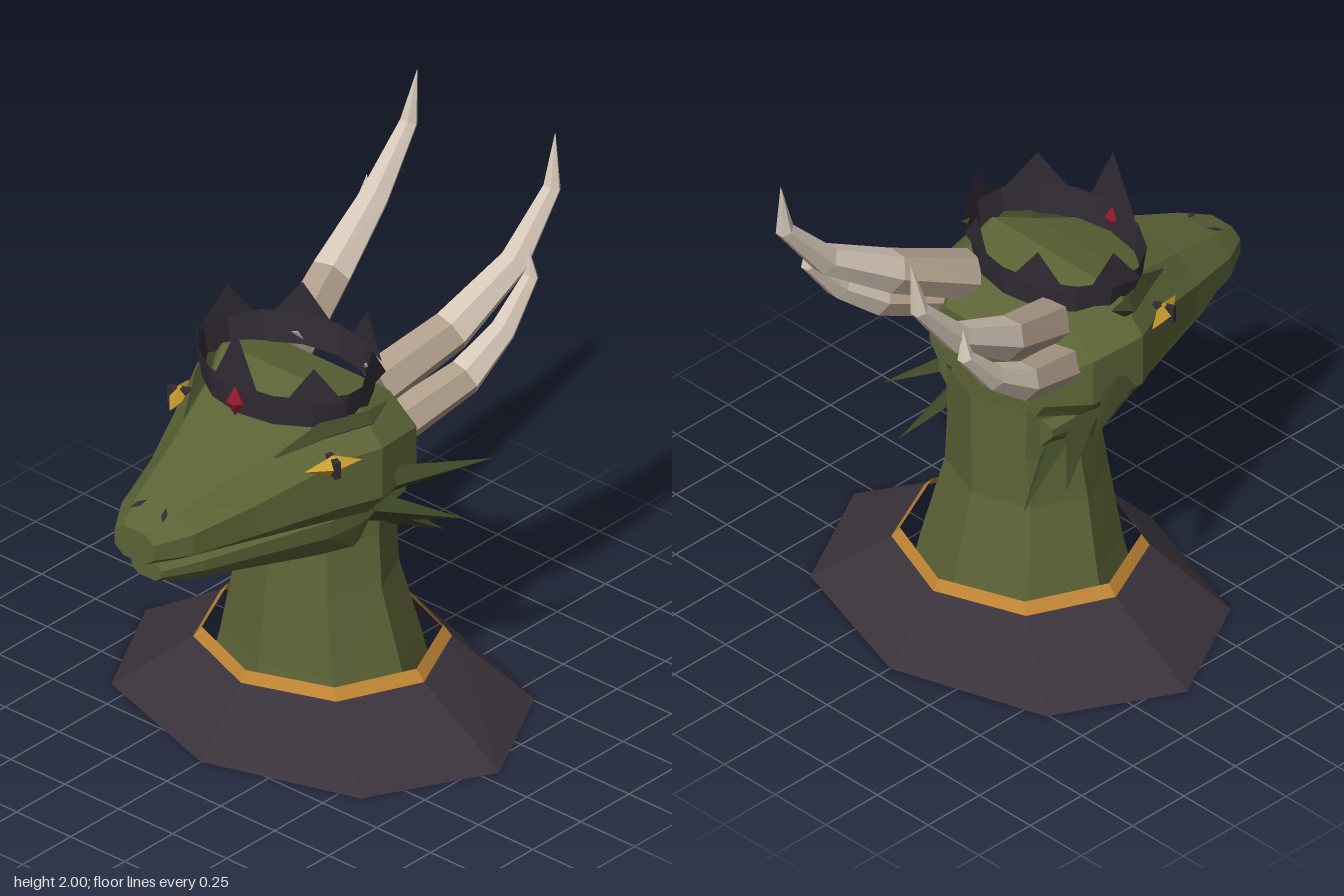
import * as THREE from 'three';

const mat = (name, color, side = THREE.FrontSide) => {
  const m = new THREE.MeshStandardMaterial({ color, side, flatShading: true });
  m.name = name;
  return m;
};

// Skin of flat facets over a list of rings, running counter-clockwise about the travel direction
function loft(rings, capped = true) {
  const pos = [];
  const tri = (...pts) => pts.forEach((p) => pos.push(p.x, p.y, p.z));
  const n = rings[0].length;
  for (let i = 0; i < rings.length - 1; i++) {
    for (let j = 0; j < n; j++) {
      const k = (j + 1) % n, a = rings[i], b = rings[i + 1];
      tri(a[j], a[k], b[k]);
      tri(a[j], b[k], b[j]);
    }
  }
  if (capped) {
    const s = rings[0], e = rings[rings.length - 1];
    for (let j = 1; j < n - 1; j++) {
      tri(s[0], s[j + 1], s[j]);
      tri(e[0], e[j], e[j + 1]);
    }
  }
  const g = new THREE.BufferGeometry();
  g.setAttribute('position', new THREE.Float32BufferAttribute(pos, 3));
  g.computeVertexNormals();
  return g;
}

// Horizontal ellipse with a corner at the front
const ellipse = ([y, rx, rz, cz], n) => Array.from({ length: n }, (_, i) => {
  const t = (i / n) * Math.PI * 2;
  return new THREE.Vector3(Math.sin(t) * rx, y, cz + Math.cos(t) * rz);
});

// Eight-sided head section: z, top half width, top y, side half width, upper y, lower y, bottom half width, bottom y
const section = ([z, wt, yt, w, yu, yl, wb, yb]) =>
  [[w, yl], [w, yu], [wt, yt], [-wt, yt], [-w, yu], [-w, yl], [-wb, yb], [wb, yb]]
    .map(([x, y]) => new THREE.Vector3(x, y, z));

// Rings around a path of [x, y, z, radius]
function pathRings(path, side, sides = 6) {
  const pts = path.map(([x, y, z]) => new THREE.Vector3(x * side, y, z));
  return pts.map((p, i) => {
    const t = pts[Math.min(i + 1, pts.length - 1)].clone().sub(pts[Math.max(i - 1, 0)]).normalize();
    const s = new THREE.Vector3(1, 0, 0).addScaledVector(t, -t.x).normalize();
    const u = t.clone().cross(s);
    return Array.from({ length: sides }, (_, j) => {
      const a = (j / sides) * Math.PI * 2, r = path[i][3];
      return p.clone().addScaledVector(s, Math.cos(a) * r).addScaledVector(u, Math.sin(a) * r);
    });
  });
}

export function createModel() {
  const root = new THREE.Group();
  root.name = 'hornedBust';
  const green = mat('scale green', 0x5c6436);
  const neckGreen = mat('neck green', 0x5c6437, THREE.DoubleSide);
  const darkGreen = mat('dark green', 0x3f4727);
  const cloth = mat('cloak cloth', 0x3b333b, THREE.DoubleSide);
  const gold = mat('collar gold', 0xc08534, THREE.DoubleSide);
  const iron = mat('crown iron', 0x322c34, THREE.DoubleSide);
  const hornLight = mat('horn light', 0xd6c7b8);
  const hornDark = mat('horn base', 0xb09e8b);
  const yellow = mat('eye yellow', 0xcfa030);
  const red = mat('gem red', 0x8f1a2b);
  const add = (name, geo, m, parent = root) => {
    const mesh = new THREE.Mesh(geo, m);
    mesh.name = name;
    parent.add(mesh);
    return mesh;
  };

  // Cloak, collar and neck are open tubes
  const tube = (name, rows, m) => add(name, loft(rows.map((r) => ellipse(r, 8)), false), m);
  tube('cloak', [[0, 0.82, 0.635, -0.06], [0.225, 0.47, 0.425, -0.06]], cloth);
  tube('collar', [[0.21, 0.482, 0.432, -0.06], [0.265, 0.435, 0.4, -0.06]], gold);
  tube('neck', [[0.14, 0.4, 0.35, -0.05], [0.26, 0.37, 0.325, -0.05],
    [0.55, 0.3, 0.267, -0.03], [0.75, 0.275, 0.255, -0.045], [0.96, 0.28, 0.25, -0.05]], neckGreen);

  // Skull and lower jaw, back to front
  add('skull', loft([
    [-0.225, 0.2, 1.2, 0.28, 1.12, 1.02, 0.24, 0.96],
    [-0.1, 0.27, 1.31, 0.4, 1.21, 1.03, 0.33, 0.95],
    [0.11, 0.31, 1.36, 0.43, 1.23, 1.03, 0.36, 0.945],
    [0.25, 0.24, 1.32, 0.36, 1.21, 1.02, 0.3, 0.945],
    [0.56, 0.15, 1.215, 0.24, 1.12, 1.0, 0.19, 0.955],
    [0.8, 0.09, 1.14, 0.165, 1.08, 1.0, 0.11, 0.965],
    [0.92, 0.05, 1.09, 0.09, 1.06, 1.0, 0.05, 0.97],
  ].map(section)), green);
  add('lowerJaw', loft([
    [-0.18, 0.25, 0.912, 0.28, 0.9, 0.87, 0.22, 0.8],
    [0.06, 0.26, 0.915, 0.28, 0.9, 0.84, 0.25, 0.74],
    [0.2, 0.24, 0.92, 0.265, 0.905, 0.84, 0.21, 0.75],
    [0.7, 0.11, 0.932, 0.13, 0.92, 0.88, 0.08, 0.83],
    [0.855, 0.05, 0.935, 0.07, 0.92, 0.895, 0.04, 0.872],
  ].map(section)), green);

  const horns = {
    upperHorn: [[0.2, 1.29, -0.12, 0.09], [0.28, 1.41, -0.41, 0.08], [0.325, 1.58, -0.69, 0.057],
      [0.332, 1.8, -0.88, 0.034], [0.32, 2, -0.91, 0.001]],
    lowerHorn: [[0.29, 1.17, -0.14, 0.08], [0.355, 1.26, -0.4, 0.07], [0.38, 1.38, -0.57, 0.05],
      [0.385, 1.54, -0.71, 0.03], [0.375, 1.645, -0.71, 0.001]],
  };
  // Cheek spikes: base, tip, radius
  const spikes = [
    [[0.4, 1.06, 0.03], [0.585, 1.075, -0.28], 0.052],
    [[0.26, 0.87, -0.02], [0.45, 0.78, -0.28], 0.055],
    [[0.22, 0.82, -0.08], [0.305, 0.65, -0.345], 0.05],
  ];

  for (const side of [1, -1]) {
    const pair = new THREE.Group();
    pair.name = side > 0 ? 'leftFeatures' : 'rightFeatures';
    root.add(pair);

    for (const [name, path] of Object.entries(horns)) {
      const rings = pathRings(path, side);
      add(name + 'Base', loft(rings.slice(0, 2)), hornDark, pair);
      add(name + 'Tip', loft(rings.slice(1)), hornLight, pair);
    }

    for (const [base, tip, r] of spikes) {
      const a = [...base, r], b = [...tip, 0.001];
      add('cheekSpike', loft(pathRings([a, b], side, 4)), darkGreen, pair);
    }

    // Brow ridge, thickest in the middle
    add('brow', loft(pathRings([[0.2, 1.235, 0.44, 0.002], [0.27, 1.295, 0.25, 0.04],
      [0.36, 1.32, 0.1, 0.035], [0.37, 1.355, 0.02, 0.002]], side, 4)), darkGreen, pair);

    // Eye diamond with a slit pupil
    const eye = new THREE.Group();
    eye.name = 'eye';
    eye.position.set(0.357 * side, 1.207, 0.285);
    eye.rotation.y = -0.42 * side;
    pair.add(eye);
    add('iris', new THREE.OctahedronGeometry(1), yellow, eye).scale.set(0.035, 0.043, 0.11);
    add('pupil', new THREE.BoxGeometry(0.08, 0.064, 0.024), iron, eye);

    const nostril = add('nostril', new THREE.OctahedronGeometry(1), iron, pair);
    nostril.position.set(0.06 * side, 1.132, 0.83);
    nostril.rotation.set(0.35, 0.5 * side, 0);
    nostril.scale.set(0.012, 0.006, 0.035);
  }

  // Crown band with seven flat points, the front one taller
  const crown = new THREE.Group();
  crown.name = 'crown';
  root.add(crown);
  add('crownBand', loft([[1.32, 0.325, 0.26, 0.12], [1.44, 0.345, 0.27, 0.12]]
    .map((r) => ellipse(r, 14)), false), iron, crown);
  for (let i = 0; i < 7; i++) {
    const t = (i / 7) * Math.PI * 2, h = i === 0 ? 0.225 : 0.135;
    const shape = new THREE.Shape([[-0.11, -0.01], [0.11, -0.01], [0, h]]
      .map(([x, y]) => new THREE.Vector2(x, y)));
    const point = add('crownPoint', new THREE.ShapeGeometry(shape), iron, crown);
    point.position.set(Math.sin(t) * 0.345, 1.43, 0.12 + Math.cos(t) * 0.27);
    point.rotation.y = Math.atan2(Math.sin(t) / 0.345, Math.cos(t) / 0.27);
  }
  const gem = add('gem', new THREE.SphereGeometry(1, 6, 2), red, crown);
  gem.position.set(0, 1.375, 0.395);
  gem.scale.set(0.037, 0.058, 0.03);

  return root;
}
